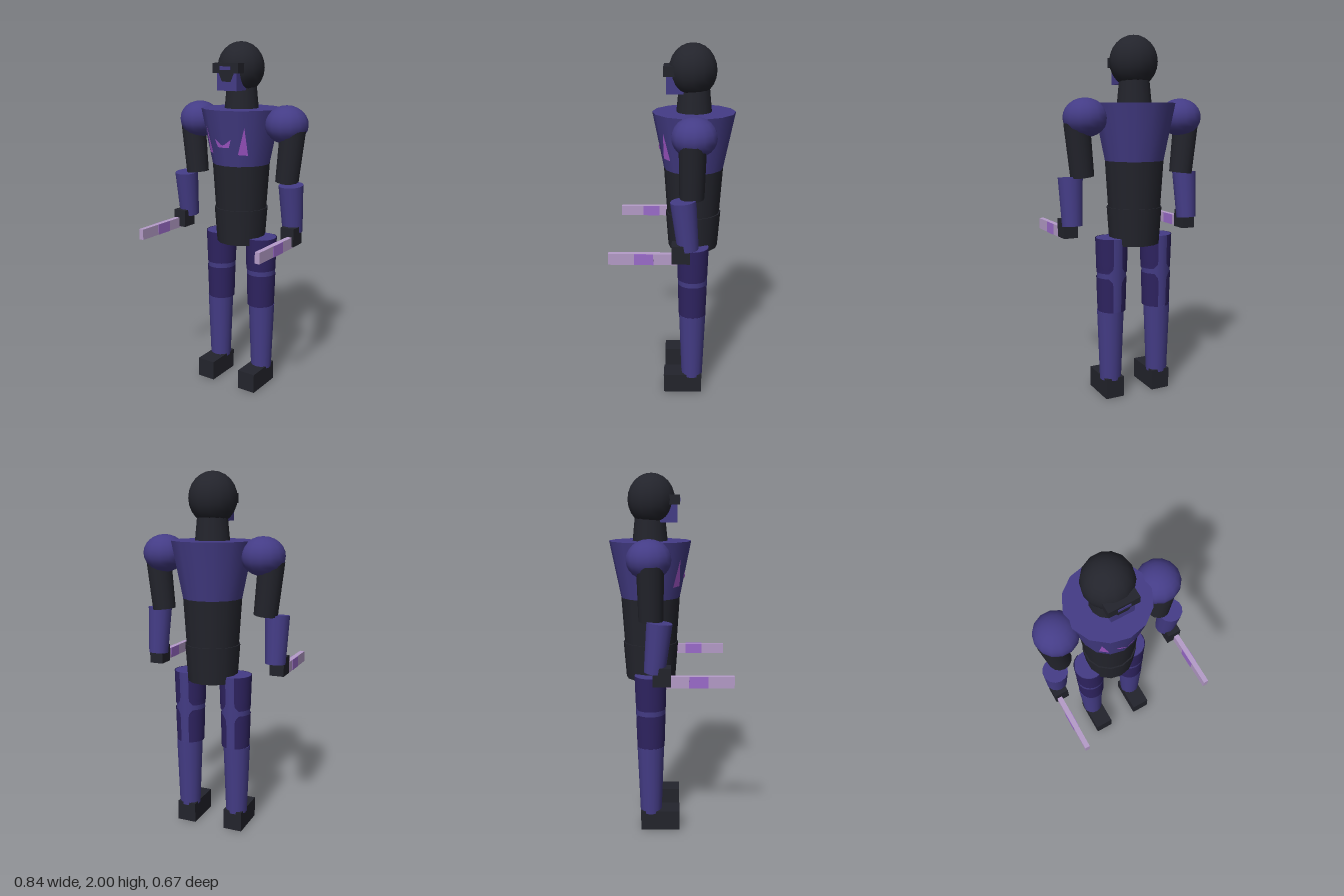
import * as THREE from 'three';

const mat = (name, color, extra = {}) => {
  const m = new THREE.MeshStandardMaterial({ color, ...extra });
  m.name = name;
  return m;
};

export function createModel() {
  const black = mat('black', 0x23242c);
  const blue = mat('indigo', 0x443c86);
  const dark = mat('dark purple', 0x2e2360, { side: THREE.DoubleSide });
  const lilac = mat('pale lilac', 0xb59cc8);
  const accent = mat('violet', 0x9c6ccc);
  const emblem = mat('orchid', 0xa458cc, { side: THREE.DoubleSide });

  const model = new THREE.Group();
  model.name = 'armouredFigure';
  const SIDES = 14, Z = -0.108;

  const add = (name, geo, material, x = 0, y = 0, z = 0) => {
    const mesh = new THREE.Mesh(geo, material);
    mesh.name = name;
    mesh.position.set(x, y, z);
    model.add(mesh);
    return mesh;
  };
  // box given by its lower and upper corners
  const box = (name, material, x0, x1, y0, y1, z0, z1) =>
    add(name, new THREE.BoxGeometry(Math.abs(x1 - x0), y1 - y0, z1 - z0), material,
      (x0 + x1) / 2, (y0 + y1) / 2, (z0 + z1) / 2);
  // tapered cylinder from a top point to a bottom point
  const limb = (name, material, top, bottom, rTop, rBottom) => {
    const a = new THREE.Vector3(...top), b = new THREE.Vector3(...bottom);
    const mesh = add(name, new THREE.CylinderGeometry(rTop, rBottom, a.distanceTo(b), SIDES), material);
    mesh.position.copy(a).add(b).multiplyScalar(0.5);
    mesh.quaternion.setFromUnitVectors(new THREE.Vector3(0, 1, 0), a.sub(b).normalize());
  };
  const ball = (name, material, x, y, z, rx, ry) => {
    const geo = new THREE.SphereGeometry(1, SIDES, 12).scale(rx, ry, rx);
    add(name, geo, material, x, y, z);
  };

  // head, visor and mask
  ball('head', black, 0, 1.86, -0.1, 0.131, 0.14);
  limb('neck', black, [0, 1.76, Z], [0, 1.64, Z], 0.084, 0.096);
  box('visor', black, -0.083, 0.083, 1.833, 1.886, -0.06, 0.055);
  box('visorLens', blue, -0.035, 0.035, 1.85, 1.869, 0.05, 0.058);
  box('mask', blue, -0.063, 0.063, 1.74, 1.833, -0.06, 0.042);
  const mouth = new THREE.Shape([[-0.05, 0], [-0.028, -0.046], [0.028, -0.046], [0.05, 0]]
    .map(([x, y]) => new THREE.Vector2(x, y)));
  add('mouthPlate', new THREE.ShapeGeometry(mouth), black, 0, 1.834, 0.045);

  // torso
  limb('chest', blue, [0, 1.64, Z], [0, 1.33, Z], 0.226, 0.164);
  limb('abdomen', black, [0, 1.33, Z], [0, 1.07, Z], 0.164, 0.147);
  limb('hips', black, [0, 1.075, Z], [0, 0.87, Z], 0.155, 0.14);

  // chest markings laid on one facet of the chest each
  const step = (Math.PI * 2) / SIDES;
  const marking = (name, points, facet, side) => {
    const shape = new THREE.Shape(points.map(([x, y]) => new THREE.Vector2(x * side, y)));
    const geo = new THREE.ShapeGeometry(shape);
    const p = geo.attributes.position, phi = (facet + 0.5) * step;
    for (let i = 0; i < p.count; i++) {
      const r = 0.164 + (p.getY(i) - 1.33) * 0.2;
      const depth = (r * Math.cos(step / 2) - Math.abs(p.getX(i)) * Math.sin(phi)) / Math.cos(phi);
      p.setZ(i, Z + depth + 0.005);
    }
    geo.computeVertexNormals();
    add(name, geo, emblem);
  };

  // rounded armour panel wrapped round the front and sides of a thigh
  const thighPanel = (name, x, y0, y1, roundTop) => {
    const h = y1 - y0;
    const geo = new THREE.CylinderGeometry(1, 1, h, 28, 8, true);
    const p = geo.attributes.position, uv = geo.attributes.uv;
    for (let i = 0; i < p.count; i++) {
      const y = p.getY(i);
      const d = THREE.MathUtils.clamp((roundTop ? h / 2 - y : y + h / 2) / 0.05, 0, 1);
      const corner = 0.3 * (1 - Math.sqrt(1 - (1 - d) ** 2));
      const angle = (uv.getX(i) * 2 - 1) * (Math.PI - 0.3 - corner);
      const t = (y + (y0 + y1) / 2 - 0.5) / 0.41;
      const r = 0.0785 + t * 0.012;
      p.setXYZ(i, r * Math.sin(angle), y, r * Math.cos(angle));
    }
    geo.computeVertexNormals();
    add(name, geo, dark, x, (y0 + y1) / 2, Z);
  };

  for (const s of [1, -1]) {
    const side = s > 0 ? 'left' : 'right';
    marking(side + 'ChestSpike', [[0.082, 1.4], [0.125, 1.395], [0.125, 1.55]], 1, s);
    marking(side + 'ChestCrest', [[0, 1.437], [0.036, 1.437], [0.053, 1.485], [0.014, 1.455], [0, 1.45]], 0, s);

    // arm
    ball(side + 'Shoulder', blue, s * 0.29, 1.563, Z, 0.119, 0.104);
    limb(side + 'UpperArm', black, [s * 0.335, 1.54, -0.1], [s * 0.305, 1.25, -0.098], 0.071, 0.065);
    limb(side + 'Forearm', blue, [s * 0.356, 1.248, -0.053], [s * 0.358, 0.985, -0.08], 0.068, 0.056);
    box(side + 'Hand', black, s * 0.33, s * 0.41, 0.92, 1.02, -0.09, 0.005);

    // blade held forward, with a coloured band on both faces
    box(side + 'Blade', lilac, s * 0.372, s * 0.4, 0.912, 0.973, -0.02, 0.335);
    for (const x of [0.371, 0.401])
      box(side + 'BladeBand', accent, s * (x - 0.001), s * (x + 0.001), 0.912, 0.973, 0.1, 0.2);

    // leg
    limb(side + 'Thigh', blue, [s * 0.138, 0.91, Z], [s * 0.141, 0.5, Z], 0.088, 0.076);
    thighPanel(side + 'UpperThighPanel', s * 0.1385, 0.72, 0.911, false);
    thighPanel(side + 'LowerThighPanel', s * 0.1405, 0.499, 0.692, true);
    limb(side + 'Shin', blue, [s * 0.147, 0.5, Z], [s * 0.148, 0.1, Z], 0.076, 0.061);
    box(side + 'Foot', black, s * 0.09, s * 0.2, 0, 0.115, -0.165, 0.057);
  }
  return model;
}
